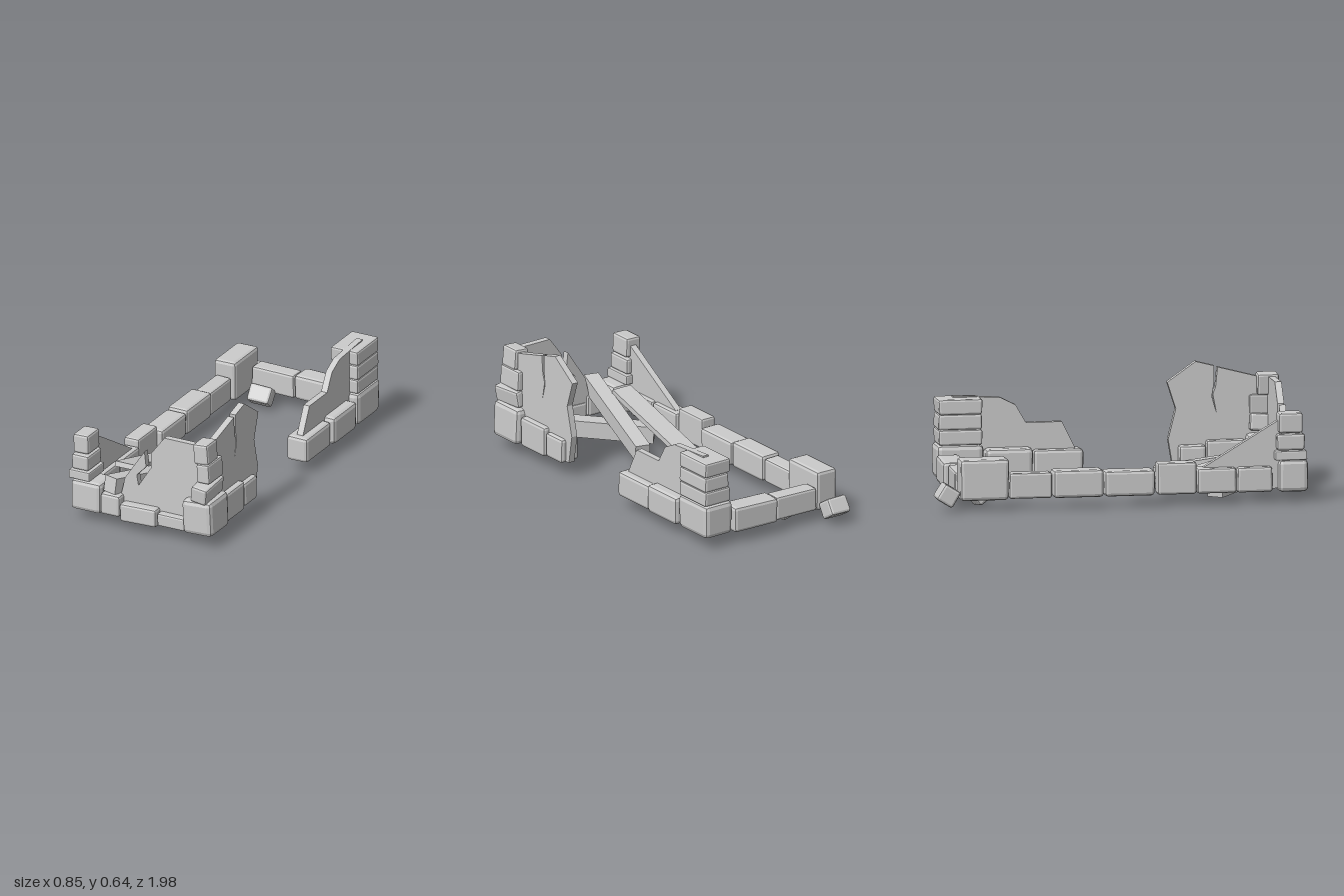
import * as THREE from 'three';
import { RoundedBoxGeometry } from 'three/addons/geometries/RoundedBoxGeometry.js';

const material = new THREE.MeshStandardMaterial({ color: 0xcccccc, flatShading: true, side: THREE.DoubleSide });

let seed = 7;
function rand() {
  seed = (seed * 16807) % 2147483647;
  return seed / 2147483647 - 0.5;
}

// Chamfered stone filling the given ranges, each slightly skewed and tapered
function stone(name, [x0, x1], [y0, y1], [z0, z1], rot = [0, 0, 0]) {
  const w = x1 - x0, h = y1 - y0, d = z1 - z0;
  const geo = new RoundedBoxGeometry(w, h, d, 1, 0.14 * Math.min(w, h, d));
  const p = geo.attributes.position;
  const skew = rand() * 0.08, taperX = rand() * 0.08, taperZ = rand() * 0.08;
  for (let i = 0; i < p.count; i++) {
    const x = p.getX(i), y = p.getY(i), z = p.getZ(i), t = y / h;
    p.setXYZ(i, x * (0.98 + taperX * t), y * (0.98 + skew * x / w), z * (0.98 + taperZ * t));
  }
  geo.computeVertexNormals();
  const mesh = new THREE.Mesh(geo, material);
  mesh.name = name;
  mesh.position.set((x0 + x1) / 2, (y0 + y1) / 2, (z0 + z1) / 2);
  mesh.rotation.set(...rot);
  return mesh;
}

// Broken plaster slab drawn as an outline and given a thickness
function slab(name, points, thickness) {
  const shape = new THREE.Shape(points.map(([a, b]) => new THREE.Vector2(a, b)));
  const geo = new THREE.ExtrudeGeometry(shape, { depth: thickness, bevelEnabled: false });
  geo.translate(0, 0, -thickness / 2);
  const mesh = new THREE.Mesh(geo, material);
  mesh.name = name;
  return mesh;
}

// Side slab: outline given as (z, y), placed at x
function sideSlab(name, x, points) {
  const mesh = slab(name, points.map(([z, y]) => [-z, y]), 0.035);
  mesh.rotation.y = Math.PI / 2;
  mesh.position.x = x;
  return mesh;
}

// Straight beam between two points
function beam(name, from, to, width, height) {
  const a = new THREE.Vector3(...from), b = new THREE.Vector3(...to);
  const mesh = new THREE.Mesh(new THREE.BoxGeometry(width, height, a.distanceTo(b)), material);
  mesh.name = name;
  mesh.position.copy(a).add(b).multiplyScalar(0.5);
  mesh.lookAt(b);
  return mesh;
}

export function createModel() {
  const model = new THREE.Group();
  model.name = 'ruinedHouse';
  const add = (...parts) => model.add(...parts);

  // Long right wall: [z range, x range, top]
  [
    [[-0.61, -0.38], [-0.41, -0.32], 0.2],
    [[-0.38, -0.11], [-0.43, -0.31], 0.21],
    [[-0.11, 0.16], [-0.43, -0.31], 0.2],
    [[0.17, 0.38], [-0.42, -0.33], 0.235],
    [[0.38, 0.59], [-0.42, -0.32], 0.2],
    [[0.59, 0.78], [-0.42, -0.32], 0.2],
  ].forEach(([z, x, top]) => add(stone('rightWallStone', x, [0.065, top], z)));

  // Back right corner and back wall
  add(stone('backRightCorner', [-0.43, -0.3], [0.06, 0.28], [-0.87, -0.61]));
  add(stone('backWallStone', [-0.3, -0.04], [0.07, 0.2], [-0.87, -0.775], [0, -0.04, 0]));
  add(stone('backWallStone', [-0.04, 0.235], [0.07, 0.21], [-0.885, -0.76], [0, -0.05, 0]));

  // Back left corner pillar and the stones running forward from it
  add(stone('backLeftCorner', [0.24, 0.42], [0.07, 0.255], [-0.87, -0.62]));
  for (let i = 0; i < 3; i++) {
    add(stone('backPillarStone', [0.25 + 0.01 * (i % 2), 0.415],
      [0.25 + i * 0.08, 0.332 + i * 0.08], [-0.86, -0.625]));
  }
  add(stone('leftWallStone', [0.26, 0.425], [0.07, 0.225], [-0.61, -0.355]));
  add(stone('leftWallStone', [0.285, 0.41], [0.07, 0.21], [-0.355, -0.085]));

  // Front right pillar
  add(stone('frontRightCorner', [-0.415, -0.235], [0.06, 0.232], [0.81, 0.97]));
  add(stone('frontRightPillarStone', [-0.43, -0.305], [0.23, 0.28], [0.79, 0.96]));
  add(stone('frontRightPillarStone', [-0.418, -0.317], [0.28, 0.367], [0.8, 0.95]));
  add(stone('frontRightPillarStone', [-0.415, -0.322], [0.37, 0.478], [0.81, 0.94], [0, 0, 0.03]));

  // Front wall
  add(stone('frontWallStone', [-0.235, -0.12], [0.072, 0.193], [0.87, 0.975]));
  add(stone('frontWallStone', [-0.122, 0.095], [0.057, 0.158], [0.88, 0.975], [0, 0, 0.03]));
  add(stone('frontWallStone', [0.095, 0.26], [0.072, 0.142], [0.86, 0.965]));

  // Front left pillar and the stones running back from it
  add(stone('frontLeftCorner', [0.247, 0.423], [0.07, 0.265], [0.77, 0.98], [0, 0, 0.05]));
  add(stone('frontLeftPillarStone', [0.305, 0.4], [0.265, 0.358], [0.79, 0.99], [0.08, 0, -0.14]));
  add(stone('frontLeftPillarStone', [0.32, 0.395], [0.36, 0.468], [0.79, 0.95], [0, 0, 0.06]));
  add(stone('frontLeftPillarStone', [0.298, 0.385], [0.463, 0.577], [0.83, 0.945], [0, 0, 0.09]));
  add(stone('leftWallStone', [0.29, 0.4], [0.07, 0.235], [0.56, 0.77]));
  add(stone('leftWallStone', [0.28, 0.395], [0.08, 0.212], [0.415, 0.56]));

  // Broken plaster walls
  const front = slab('frontPlaster', [
    [-0.17, 0.08], [0.34, 0.08], [0.34, 0.56], [0.117, 0.56], [0.04, 0.457], [0.04, 0.375],
    [-0.035, 0.257], [-0.045, 0.315], [0.01, 0.373], [0, 0.457], [-0.115, 0.285], [-0.13, 0.215],
  ], 0.035);
  front.position.z = 0.905;
  add(front);
  add(sideSlab('frontLeftPlaster', 0.348, [
    [0.9, 0.08], [0.9, 0.55], [0.83, 0.56], [0.625, 0.613], [0.615, 0.51], [0.6, 0.47], [0.62, 0.37],
    [0.595, 0.46], [0.605, 0.52], [0.607, 0.62], [0.51, 0.645], [0.36, 0.54], [0.405, 0.4],
    [0.365, 0.24], [0.39, 0.09],
  ]));
  add(sideSlab('frontRightPlaster', -0.365, [
    [0.88, 0.08], [0.88, 0.455], [0.82, 0.44], [0.62, 0.32], [0.42, 0.2], [0.42, 0.08],
  ]));
  add(sideSlab('backLeftPlaster', 0.347, [
    [-0.12, 0.08], [-0.12, 0.2], [-0.195, 0.35], [-0.385, 0.35], [-0.44, 0.445], [-0.52, 0.485],
    [-0.77, 0.5], [-0.77, 0.08],
  ]));

  // Fallen beams and a plank
  add(beam('leaningBeam', [0.005, 0.11, 0.235], [-0.19, 0.237, 0.945], 0.08, 0.085));
  add(beam('leaningPlank', [-0.223, 0.065, 0.075], [-0.223, 0.25, 0.725], 0.115, 0.028));
  add(beam('fallenBeam', [-0.27, 0.07, 0.5], [0.085, 0.1, 0.81], 0.09, 0.09));

  // Fallen stones
  add(stone('fallenStone', [-0.43, -0.305], [0.045, 0.14], [-0.98, -0.88], [0.55, 0, 0]));
  add(stone('fallenStone', [-0.275, -0.15], [0.025, 0.12], [-0.78, -0.68], [-0.6, 0.2, 0]));
  return model;
}
